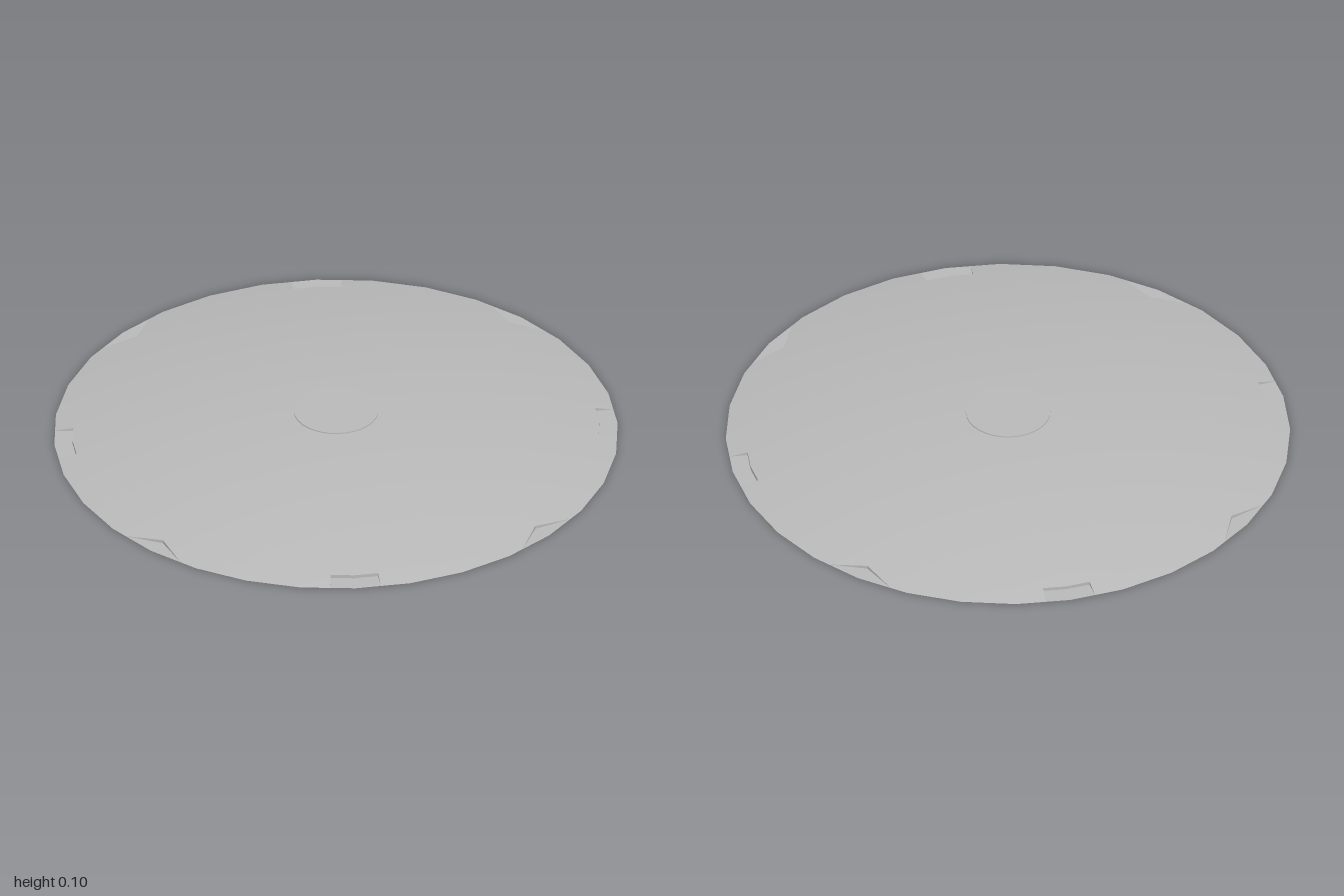
import * as THREE from 'three';

const SIDES = 32, STEP = 11.25, INNER = 0.935, HEIGHT = 0.1;
const domeY = r => HEIGHT * (1 - r * r);

// Point on the 32-sided dome at radius r and angle a (degrees)
function point(r, a, y = domeY(r)) {
  const off = ((a % STEP) + STEP) % STEP - STEP / 2;
  const k = r * Math.cos(THREE.MathUtils.degToRad(STEP / 2)) / Math.cos(THREE.MathUtils.degToRad(off));
  const t = THREE.MathUtils.degToRad(a);
  return new THREE.Vector3(k * Math.sin(t), y, k * Math.cos(t));
}

function geometryFrom(points, smooth) {
  const geo = new THREE.BufferGeometry().setFromPoints(points);
  geo.computeVertexNormals();
  if (smooth) {
    // Dome normals follow the curve of the surface
    points.forEach((p, i) => {
      const n = new THREE.Vector3(0.2 * p.x, 1, 0.2 * p.z).normalize();
      geo.attributes.normal.setXYZ(i, n.x, n.y, n.z);
    });
  }
  return geo;
}

export function createModel() {
  const group = new THREE.Group();
  const grey = new THREE.MeshStandardMaterial({ color: 0xb8b8b8, side: THREE.DoubleSide });
  grey.name = 'grey';
  const add = (name, geo) => {
    const mesh = new THREE.Mesh(geo, grey);
    mesh.name = name;
    group.add(mesh);
    return mesh;
  };

  // Shallow dome inside the notches
  const profile = [];
  for (let i = 0; i <= 14; i++) {
    const r = THREE.MathUtils.lerp(INNER, 0.15, i / 14);
    profile.push(new THREE.Vector2(r, domeY(r)));
  }
  add('dome', new THREE.LatheGeometry(profile, SIDES));

  // Low disc at the crown
  add('crownDisc', new THREE.CylinderGeometry(0.15, 0.15, 0.005, SIDES)).position.y = 0.0995;

  // Flat base, also the floor of the notches
  add('base', new THREE.CircleGeometry(1, SIDES).rotateX(Math.PI / 2));

  // Rim with alternating pointed and rectangular notches
  const rim = [], walls = [];
  const quad = (list, a, b, c, d) => list.push(a, b, c, a, c, d);
  const solid = [7.5, 11.25, 22.5, 33.75, 39.8];
  for (let q = 0; q < 4; q++) {
    for (const side of [-1, 1]) {
      const at = a => q * 90 + side * a;
      const tri = (list, a, b, c) => side > 0 ? list.push(a, b, c) : list.push(a, c, b);
      const inner = a => point(INNER, at(a)), outer = a => point(1, at(a));
      const foot = a => point(INNER, at(a), 0);

      // pointed notch
      tri(rim, inner(0), outer(7.5), inner(7.5));
      tri(walls, inner(0), foot(0), outer(7.5));

      // uncut rim
      for (let i = 0; i < solid.length - 1; i++) {
        const [a, b] = [solid[i], solid[i + 1]];
        tri(rim, inner(a), outer(a), outer(b));
        tri(rim, inner(a), outer(b), inner(b));
      }

      // half of a rectangular notch
      tri(walls, inner(39.8), outer(39.8), foot(39.8));
      quad(walls, inner(39.8), foot(39.8), foot(45), inner(45));
    }
  }
  add('rim', geometryFrom(rim, true));
  add('notchWalls', geometryFrom(walls, false));
  return group;
}
